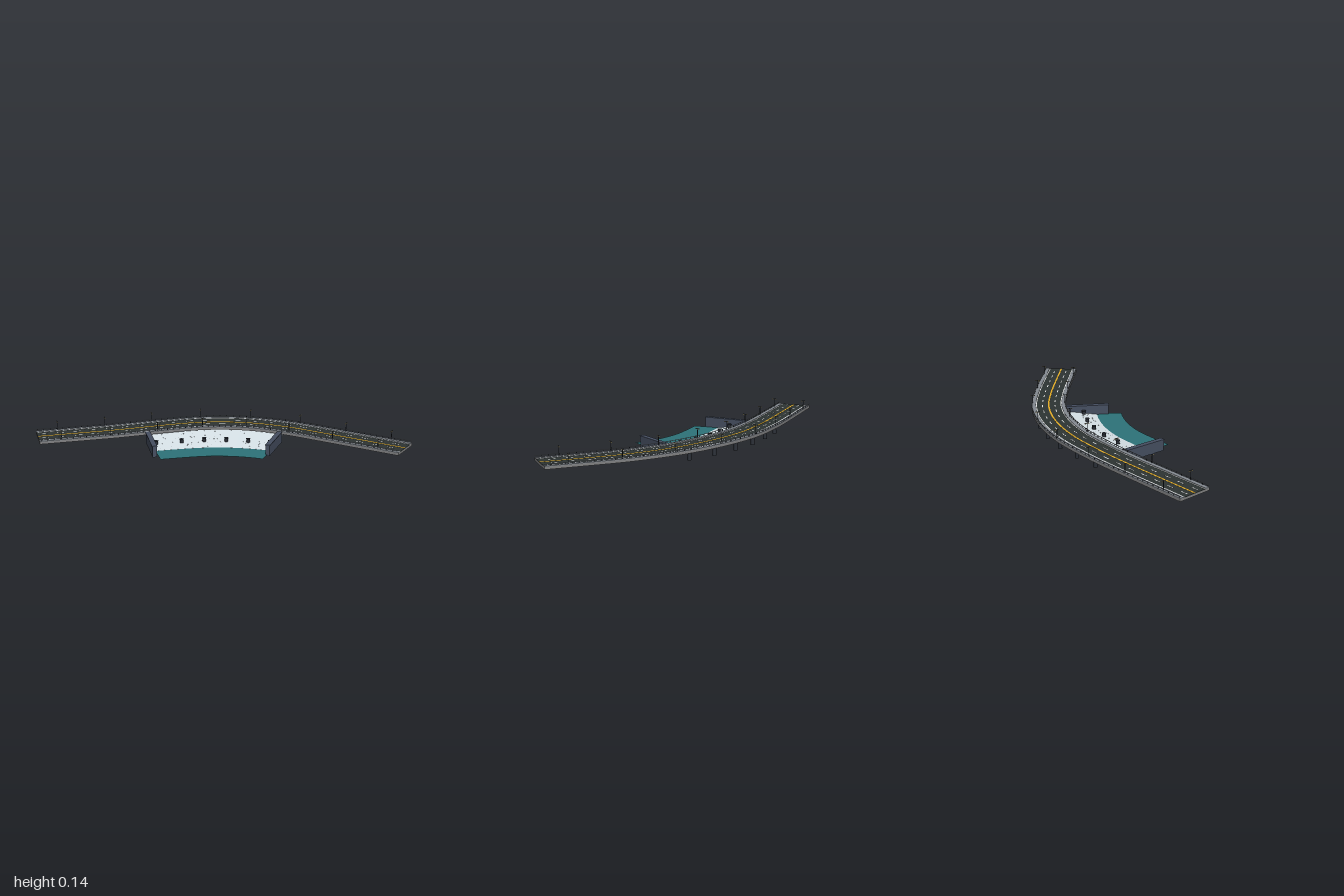
import * as THREE from 'three';
import { toCreasedNormals } from 'three/addons/utils/BufferGeometryUtils.js';

const mat = (name, color) => Object.assign(new THREE.MeshStandardMaterial({ color }), { name });

// Plan of the road centreline
const path = new THREE.CatmullRomCurve3([
  [-0.655, -0.907], [-0.33, -0.675], [-0.009, -0.445], [0.196, -0.27],
  [0.353, -0.065], [0.464, 0.172], [0.531, 0.45], [0.608, 0.981],
].map(([x, z]) => new THREE.Vector3(x, 0, z)));
path.arcLengthDivisions = 600;
const LENGTH = path.getLength();

// Gentle hump of the bridge
const lift = (s) => {
  const t = THREE.MathUtils.clamp((s - 0.4) / 1.65, 0, 1);
  return 0.014 * Math.sin(Math.PI * t) ** 2;
};

// Point at distance s along the road, off to the inner (+) or outer (-) side
function at(s, off, y, hump = true) {
  const u = THREE.MathUtils.clamp(s / LENGTH, 0, 1);
  const p = path.getPointAt(u), t = path.getTangentAt(u);
  return new THREE.Vector3(p.x - t.z * off, y + (hump ? lift(s) : 0), p.z + t.x * off);
}

// Sweep a convex counter-clockwise profile of [offset, y] along the road
function sweep(profile, s0 = 0, s1 = LENGTH, hump = true) {
  const n = Math.max(2, Math.ceil((s1 - s0) / 0.035));
  const rings = [];
  for (let k = 0; k <= n; k++) {
    const s = s0 + ((s1 - s0) * k) / n;
    rings.push(profile.map(([o, y]) => at(s, o, y, hump)));
  }
  const pos = [];
  const tri = (...pts) => pts.forEach((p) => pos.push(p.x, p.y, p.z));
  const m = profile.length;
  for (let k = 0; k < n; k++) {
    for (let i = 0; i < m; i++) {
      const j = (i + 1) % m;
      const a = rings[k][i], b = rings[k][j], c = rings[k + 1][j], d = rings[k + 1][i];
      tri(a, d, c);
      tri(a, c, b);
    }
  }
  for (let i = 1; i < m - 1; i++) {
    tri(rings[0][0], rings[0][i], rings[0][i + 1]);
    tri(rings[n][0], rings[n][i + 1], rings[n][i]);
  }
  const g = new THREE.BufferGeometry();
  g.setAttribute('position', new THREE.Float32BufferAttribute(pos, 3));
  g.computeVertexNormals();
  return toCreasedNormals(g, 0.5);
}

const rect = (o0, o1, y0, y1) => [[o0, y0], [o1, y0], [o1, y1], [o0, y1]];

// Seeded random numbers for scattering stones
let seed = 7;
const random = () => (seed = (seed * 16807) % 2147483647) / 2147483647;

export function createModel() {
  const asphalt = mat('asphalt', 0x2d3433);
  const concrete = mat('pavement grey', 0x858b92);
  const deckGrey = mat('deck grey', 0x7f7f80);
  const yellow = mat('line yellow', 0xf6ba28);
  const white = mat('line white', 0xffffff);
  const sandPale = mat('pale sand', 0xd8e3e8);
  const waterTeal = mat('water teal', 0x2d7379);
  const wallBlue = mat('wall slate', 0x454e60);
  const dark = mat('dark steel', 0x272c34);
  const lampCream = mat('lamp cream', 0xf0deA0);

  const model = new THREE.Group();
  const add = (name, geo, material, parent = model) => {
    const mesh = new THREE.Mesh(geo, material);
    mesh.name = name;
    parent.add(mesh);
    return mesh;
  };

  // Deck and road surface
  add('deck', sweep(rect(-0.11, 0.11, 0.047, 0.062)), deckGrey);
  add('roadSurface', sweep(rect(-0.084, 0.084, 0.0615, 0.064)), asphalt);

  // Painted lines
  add('centreLine', sweep(rect(-0.005, 0.005, 0.0635, 0.0648)), yellow);
  for (const side of [-1, 1]) {
    const strip = (o, w) => rect(side * o - w / 2, side * o + w / 2, 0.0635, 0.0648);
    add('edgeLine', sweep(strip(0.079, 0.005)), white);
    for (let s = 0.02; s < LENGTH - 0.04; s += 0.104) add('laneDash', sweep(strip(0.04, 0.0055), s, s + 0.045), white);
  }

  // Pavements and railings on both sides
  const postGeo = new THREE.BoxGeometry(0.003, 0.011, 0.003);
  for (const side of [-1, 1]) {
    const band = (o, w, y0, y1) => rect(side * o - w / 2, side * o + w / 2, y0, y1);
    add('pavement', sweep(band(0.097, 0.026, 0.0615, 0.0665)), concrete);
    add('handrail', sweep(band(0.108, 0.004, 0.0755, 0.078)), concrete);
    for (let s = 0.01; s < LENGTH; s += 0.04) {
      add('railPost', postGeo, dark).position.copy(at(s, side * 0.108, 0.071));
    }
  }

  // Double-armed street lamps
  const poleGeo = new THREE.CylinderGeometry(0.0018, 0.0026, 0.054, 6);
  const armGeo = new THREE.BoxGeometry(0.028, 0.0025, 0.003);
  const headGeo = new THREE.BoxGeometry(0.008, 0.004, 0.006);
  for (let i = 0; i < 8; i++) {
    const s = 0.135 + (i * (LENGTH - 0.27)) / 7;
    const t = path.getTangentAt(s / LENGTH);
    for (const side of [-1, 1]) {
      const lamp = new THREE.Group();
      lamp.name = 'streetLamp';
      lamp.position.copy(at(s, side * 0.103, 0.066));
      lamp.rotation.y = Math.atan2(-t.x, -t.z);
      add('lampPole', poleGeo, dark, lamp).position.y = 0.027;
      add('lampArm', armGeo, dark, lamp).position.y = 0.055;
      for (const e of [-1, 1]) add('lampHead', headGeo, lampCream, lamp).position.set(e * 0.01, 0.052, 0);
      model.add(lamp);
    }
  }

  // Shore under the bend: sloping beach, then a thin sheet of water
  const S0 = 0.685, S1 = 1.61;
  const TOP = [0.03, 0.051], FOOT = [0.31, 0.009];
  add('beach', sweep([[TOP[0], TOP[1] - 0.001], [FOOT[0], FOOT[1] - 0.001], FOOT, TOP], S0, S1, false), sandPale);
  add('water', sweep(rect(0.31, 0.47, 0.0078, 0.0085), S0, S1, false), waterTeal);

  // Small stones half buried in the beach
  const stoneGeo = new THREE.IcosahedronGeometry(0.0028, 0);
  for (let i = 0; i < 90; i++) {
    const k = 0.1 + 0.85 * random();
    const off = THREE.MathUtils.lerp(TOP[0], FOOT[0], k), y = THREE.MathUtils.lerp(TOP[1], FOOT[1], k);
    const stone = add('stone', stoneGeo, concrete);
    stone.position.copy(at(S0 + 0.02 + (S1 - S0 - 0.04) * random(), off, y - 0.0005, false));
    stone.scale.set(0.7 + 0.6 * random(), 0.7, 0.7 + 0.6 * random());
  }

  // Two rows of piers
  const pierGeo = new THREE.CylinderGeometry(0.011, 0.013, 1, 12);
  const capGeo = new THREE.CylinderGeometry(0.014, 0.012, 0.006, 12);
  for (let i = 0; i < 6; i++) {
    const s = 0.71 + i * 0.171;
    for (const [off, top] of [[0.222, 0.045], [-0.083, 0.048 + lift(s)]]) {
      const bottom = 0.01;
      const pier = add('pier', pierGeo, dark);
      pier.scale.y = top - bottom;
      pier.position.copy(at(s, off, (top + bottom) / 2, false));
      add('pierCap', capGeo, dark).position.copy(at(s, off, top - 0.003, false));
    }
  }

  // Retaining walls closing both ends of the shore
  for (const [x0, z0, x1, z1] of [[-0.17, -0.42, -0.347, -0.2], [0.372, 0.215, 0.106, 0.316]]) {
    const dx = x1 - x0, dz = z1 - z0;
    const wall = new THREE.Group();
    wall.name = 'retainingWall';
    wall.position.set((x0 + x1) / 2, 0, (z0 + z1) / 2);
    wall.rotation.y = Math.atan2(-dz, dx);
    const len = Math.hypot(dx, dz);
    add('wallBody', new THREE.BoxGeometry(len, 0.068, 0.026), wallBlue, wall).position.y = 0.034;
    add('wallCoping', new THREE.BoxGeometry(len + 0.004, 0.005, 0.032), wallBlue, wall).position.y = 0.0695;
    model.add(wall);
  }
  return model;
}
